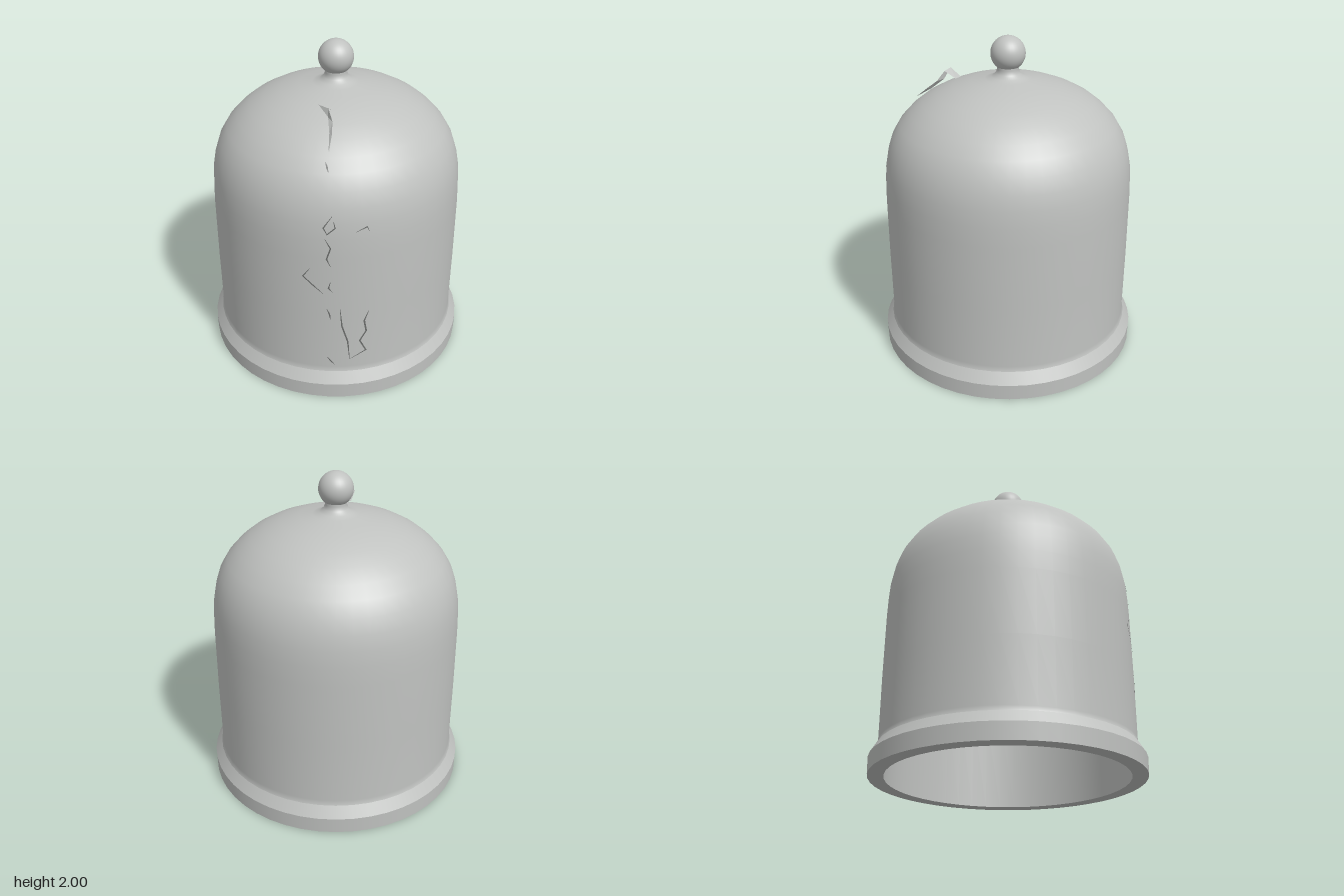
import * as THREE from 'three';

// Outer wall of the dome as [radius, height]
const wall = [
  [0.775, 0.17], [0.766, 0.2], [0.768, 0.6], [0.766, 1.0], [0.762, 1.12], [0.755, 1.22], [0.738, 1.31],
  [0.708, 1.4], [0.66, 1.48], [0.595, 1.55], [0.52, 1.61], [0.43, 1.66], [0.33, 1.7], [0.22, 1.729],
  [0.14, 1.742], [0.1, 1.755], [0.075, 1.775], [0.065, 1.8], [0.07, 1.84],
];
// Inner wall, listed from the crown down to the mouth
const inner = [
  [0, 1.69], [0.2, 1.68], [0.4, 1.62], [0.56, 1.52], [0.66, 1.4], [0.705, 1.28], [0.722, 1.1], [0.722, 0.6], [0.722, 0],
];
// Doubled points keep the foot edges crisp
const foot = [[0.722, 0], [0.816, 0], [0.816, 0], [0.818, 0.1], [0.818, 0.1], [0.775, 0.17]];

function wallRadius(y) {
  for (let i = 1; i < wall.length; i++) {
    const [r0, y0] = wall[i - 1], [r1, y1] = wall[i];
    if (y <= y1) return r0 + (r1 - r0) * (y - y0) / (y1 - y0);
  }
  return 0.07;
}

// Strip of quads between two rows of points
function strip(left, right, material, name) {
  const pos = [], index = [];
  left.forEach((p, i) => {
    pos.push(...p, ...right[i]);
    if (i > 0) {
      const a = 2 * i - 2;
      index.push(a, a + 2, a + 1, a + 1, a + 2, a + 3);
    }
  });
  let geo = new THREE.BufferGeometry();
  geo.setAttribute('position', new THREE.Float32BufferAttribute(pos, 3));
  geo.setIndex(index);
  geo = geo.toNonIndexed();
  geo.computeVertexNormals();
  const mesh = new THREE.Mesh(geo, material);
  mesh.name = name;
  return mesh;
}

// Thin tapering crack following the wall, given as [x, y] points
function crack(path, material) {
  const onWall = (x, y) => {
    const r = wallRadius(y) + 0.003, a = Math.asin(x / r);
    return [r * Math.sin(a), y, r * Math.cos(a)];
  };
  const left = [], right = [], last = path.length - 1;
  path.forEach(([x, y], i) => {
    const p = path[Math.max(i - 1, 0)], n = path[Math.min(i + 1, last)];
    const dx = n[0] - p[0], dy = n[1] - p[1], len = Math.hypot(dx, dy);
    const w = i === 0 || i === last ? 0.001 : 0.004;
    left.push(onWall(x - dy / len * w, y + dx / len * w));
    right.push(onWall(x + dy / len * w, y - dx / len * w));
  });
  return strip(left, right, material, 'crack');
}

export function createModel() {
  const model = new THREE.Group();
  model.name = 'bellJar';
  const glass = new THREE.MeshStandardMaterial({ color: 0xc0c2c0, side: THREE.DoubleSide });
  glass.name = 'grey glass';
  const dark = new THREE.MeshStandardMaterial({ color: 0x6c6e6c, side: THREE.DoubleSide });
  dark.name = 'crack grey';

  // Hollow dome with a flared foot
  const profile = [...inner, ...foot, ...wall].map(([r, y]) => new THREE.Vector2(r, y));
  const dome = new THREE.Mesh(new THREE.LatheGeometry(profile, 48), glass);
  dome.name = 'dome';
  model.add(dome);

  // Ball handle
  const knob = new THREE.Mesh(new THREE.SphereGeometry(0.105, 32, 24), glass);
  knob.name = 'knob';
  knob.position.y = 1.895;
  model.add(knob);

  // Lifted splinter near the crown
  model.add(strip(
    [[0.07, 1.71, 0.31], [0.08, 1.76, 0.38], [0.14, 1.7, 0.385], [0.18, 1.64, 0.45], [0.22, 1.58, 0.54]],
    [[0.12, 1.71, 0.31], [0.14, 1.75, 0.38], [0.18, 1.69, 0.41], [0.205, 1.64, 0.47], [0.225, 1.58, 0.54]],
    glass, 'splinter'));

  // Cracks running down the front
  const cracks = [
    [[0.22, 1.53], [0.235, 1.51], [0.25, 1.49]],
    [[0.31, 1.27], [0.27, 1.2], [0.29, 1.16], [0.33, 1.2], [0.32, 1.24]],
    [[0.28, 1.13], [0.31, 1.07], [0.29, 1.0], [0.31, 0.95]],
    [[0.2, 0.93], [0.16, 0.87], [0.21, 0.82], [0.27, 0.76]],
    [[0.31, 0.84], [0.3, 0.8], [0.32, 0.77]],
    [[0.29, 0.65], [0.305, 0.61], [0.31, 0.57]],
    [[0.36, 0.65], [0.37, 0.52], [0.4, 0.4], [0.41, 0.26]],
    [[0.41, 0.26], [0.49, 0.32], [0.46, 0.4], [0.49, 0.47], [0.48, 0.55], [0.5, 0.62]],
    [[0.29, 0.28], [0.31, 0.25], [0.33, 0.22]],
    [[0.43, 1.17], [0.48, 1.2], [0.49, 1.17]],
  ];
  cracks.forEach((path) => model.add(crack(path, dark)));

  return model;
}
